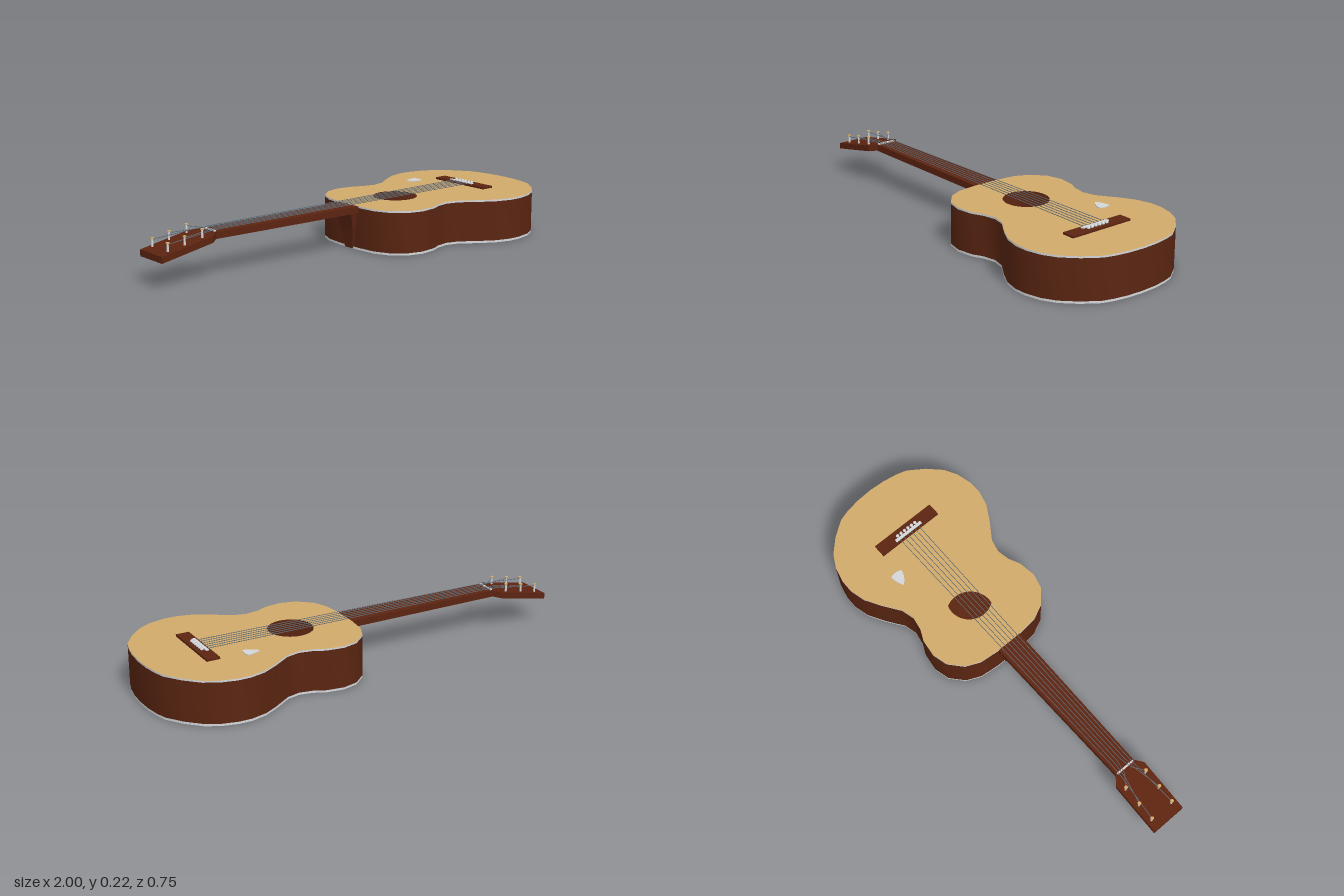
import * as THREE from 'three';
import { toCreasedNormals } from 'three/addons/utils/BufferGeometryUtils.js';

const material = (name, color) => {
  const m = new THREE.MeshStandardMaterial({ color });
  m.name = name;
  return m;
};

export function createModel() {
  const guitar = new THREE.Group();
  guitar.name = 'guitar';
  const mahogany = material('mahogany', 0x5c2410);
  const spruce = material('spruce', 0xd2aa6a);
  const ivory = material('binding', 0xd4d7da);
  const steel = material('string steel', 0x66727c);
  const inner = material('inner wood', 0x5a2511);
  inner.side = THREE.DoubleSide;

  const add = (name, geometry, mat, parent = guitar) => {
    const mesh = new THREE.Mesh(geometry, mat);
    mesh.name = name;
    parent.add(mesh);
    return mesh;
  };
  const V = (x, y, z) => new THREE.Vector3(x, y, z);

  // Outline in x and z, extruded downward from the given top height
  const slab = (shape, top, depth) => {
    const g = new THREE.ExtrudeGeometry(shape, { depth, bevelEnabled: false, curveSegments: 20 });
    g.rotateX(Math.PI / 2).translate(0, top, 0);
    return toCreasedNormals(g, 0.7);
  };
  const shapeOf = (pts) => new THREE.Shape(pts.map(([x, z]) => new THREE.Vector2(x, z)));
  const mirrored = (half) => [...half, ...half.filter((p) => p[1] > 0).reverse().map(([x, z]) => [x, -z])];

  // Body outline, one half mirrored across the centre line
  const outline = mirrored([
    [0.03, 0.06], [0.04, 0.155], [0.07, 0.22], [0.13, 0.273], [0.2, 0.291], [0.28, 0.28],
    [0.33, 0.256], [0.39, 0.245], [0.45, 0.26], [0.53, 0.315], [0.6, 0.355], [0.67, 0.373],
    [0.73, 0.372], [0.8, 0.355], [0.86, 0.322], [0.92, 0.262], [0.97, 0.19], [0.985, 0.14],
    [0.996, 0.075], [1, 0],
  ]);
  const holeX = 0.3, holeR = 0.1;
  const topShape = shapeOf(outline);
  topShape.holes.push(new THREE.Path().absarc(holeX, 0, holeR, 0, Math.PI * 2, true));
  add('soundboard', slab(topShape, 0.198, 0.008), [spruce, ivory]);
  add('back', slab(shapeOf(outline), 0.01, 0.01), [spruce, ivory]);

  // Open side wall: smooth band around the outline
  const wall = slab(shapeOf(outline), 0.19, 0.18);
  const sideGroup = wall.groups.find((g) => g.materialIndex === 1);
  wall.clearGroups();
  wall.addGroup(sideGroup.start, sideGroup.count, 0);
  add('sides', wall, [inner]);

  // Dark panel inside, under the sound hole
  const floor = add('soundHoleFloor', new THREE.CircleGeometry(0.11, 28), inner);
  floor.rotation.x = -Math.PI / 2;
  floor.position.set(holeX, 0.013, 0);

  // Neck, widening slightly toward the body
  add('neck', slab(shapeOf([[-0.73, -0.05], [0.035, -0.06], [0.035, 0.06], [-0.73, 0.05]]), 0.197, 0.03), mahogany);

  // Heel, narrowing toward the back
  const heelShape = new THREE.Shape();
  heelShape.moveTo(-0.01, 0.17);
  heelShape.quadraticCurveTo(0.015, 0.11, 0.025, 0.002);
  heelShape.lineTo(0.04, 0.002);
  heelShape.lineTo(0.04, 0.17);
  const heel = new THREE.ExtrudeGeometry(heelShape, { depth: 0.11, bevelEnabled: false, curveSegments: 6 });
  heel.translate(0, 0, -0.055);
  const hp = heel.attributes.position;
  for (let i = 0; i < hp.count; i++) hp.setZ(i, hp.getZ(i) * (0.45 + 0.55 * hp.getY(i) / 0.17));
  heel.computeVertexNormals();
  add('heel', heel, mahogany);

  // Headstock, tilted down by shearing a flat slab
  const slope = 0.19;
  const headY = (x) => 0.197 + Math.min(0, x + 0.72) * slope;
  const head = slab(shapeOf([
    [-1, -0.082], [-0.755, -0.082], [-0.72, -0.051], [-0.72, 0.051], [-0.755, 0.079], [-1, 0.079],
  ]), 0, 0.028);
  const p = head.attributes.position;
  for (let i = 0; i < p.count; i++) p.setY(i, p.getY(i) + headY(p.getX(i)));
  head.computeVertexNormals();
  add('headstock', head, mahogany);

  // Nut
  add('nut', new THREE.BoxGeometry(0.008, 0.008, 0.09), ivory).position.set(-0.72, 0.199, 0);

  // Bridge with saddle and pins
  add('bridge', new THREE.BoxGeometry(0.06, 0.009, 0.316), mahogany).position.set(0.735, 0.2025, 0);
  add('saddle', new THREE.BoxGeometry(0.014, 0.004, 0.145), ivory).position.set(0.722, 0.209, 0);

  // Strings run from peg to nut to bridge
  const pegX = [-0.955, -0.875, -0.79];
  for (let i = 0; i < 6; i++) {
    const t = i - 2.5;
    const side = Math.sign(t);
    const px = pegX[i < 3 ? i : 5 - i];
    const pz = side * 0.057 - 0.004;
    const base = headY(px);
    const tip = base + 0.036;

    const tuner = new THREE.Group();
    tuner.name = 'tuner';
    guitar.add(tuner);
    add('post', new THREE.CylinderGeometry(0.004, 0.005, 0.036, 8), ivory, tuner).position.set(px, base + 0.018, pz);
    add('postCap', new THREE.CylinderGeometry(0.008, 0.008, 0.005, 10), spruce, tuner).position.set(px, tip, pz);

    const path = new THREE.CurvePath();
    const points = [V(px, tip - 0.006, pz), V(-0.72, 0.204, t * 0.015), V(0.732, 0.209, t * 0.021)];
    path.add(new THREE.LineCurve3(points[0], points[1]));
    path.add(new THREE.LineCurve3(points[1], points[2]));
    add('string', new THREE.TubeGeometry(path, 24, 0.0016, 5), steel);

    add('bridgePin', new THREE.SphereGeometry(0.008, 12, 8), ivory).position.set(0.738, 0.209, t * 0.02);
  }

  // Plectrum resting above the soundboard
  const pick = new THREE.Shape();
  pick.moveTo(0.535, -0.18);
  pick.quadraticCurveTo(0.57, -0.2, 0.6, -0.199);
  pick.quadraticCurveTo(0.61, -0.17, 0.598, -0.144);
  pick.quadraticCurveTo(0.565, -0.145, 0.535, -0.18);
  add('plectrum', slab(pick, 0.21, 0.004), ivory);

  return guitar;
}
